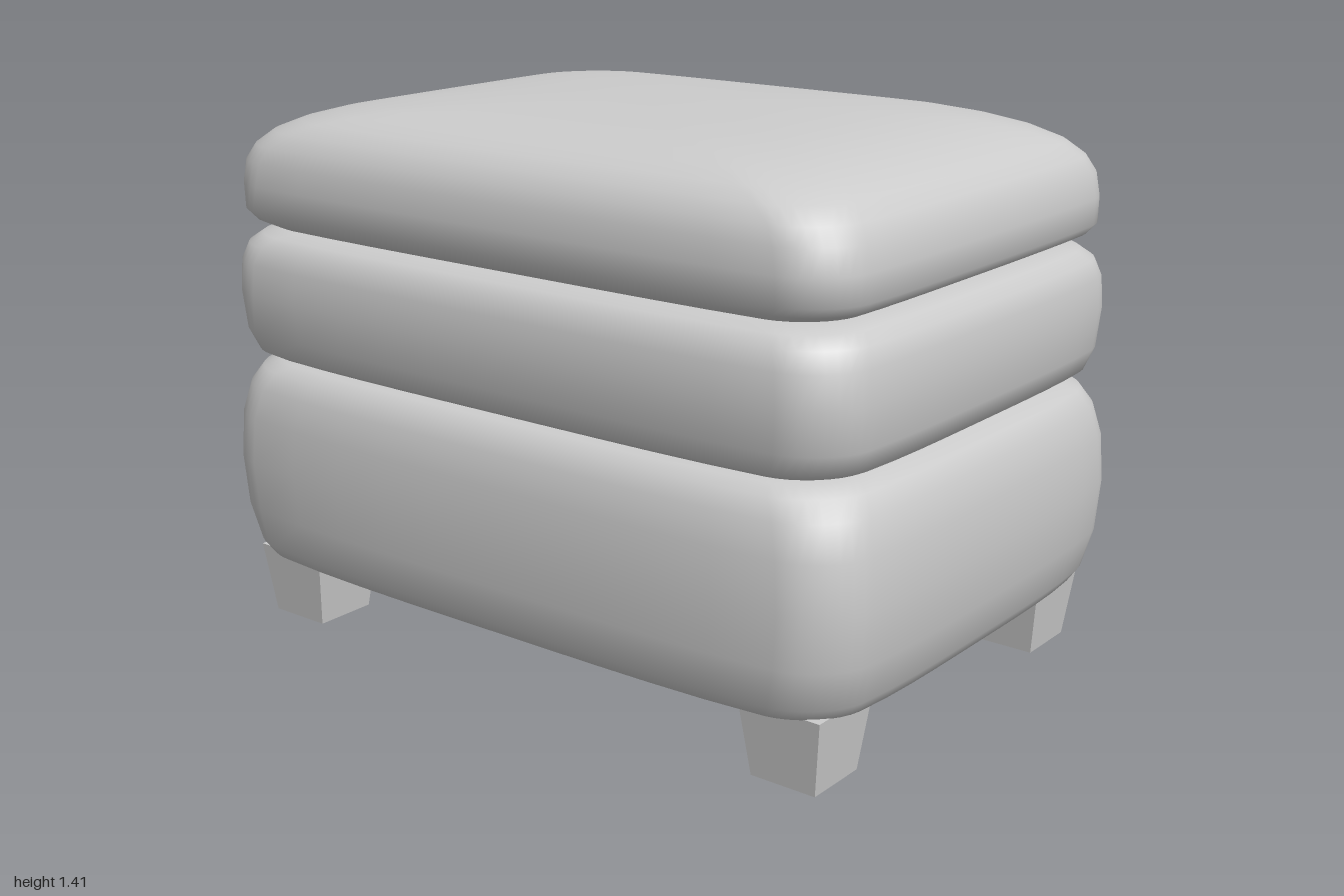
import * as THREE from 'three';
import { toCreasedNormals } from 'three/addons/utils/BufferGeometryUtils.js';

const material = new THREE.MeshStandardMaterial({ color: 0xcccccc });

// Rounded rectangle in plan whose sides bow gently outward.
function ring(hx, hz, radius, bulge) {
  const corner = 8, side = 10, pts = [];
  const r = Math.min(radius, hx * 0.9, hz * 0.9);
  const b = Math.min(bulge, hx * 0.1, hz * 0.1);
  const ix = hx - b, iz = hz - b;
  const signs = [[1, 1], [-1, 1], [-1, -1], [1, -1]];
  const arc = (k, a) => [
    signs[k][0] * (ix - r) + r * Math.cos(a),
    signs[k][1] * (iz - r) + r * Math.sin(a)
  ];
  for (let k = 0; k < 4; k++) {
    for (let i = 0; i <= corner; i++) pts.push(arc(k, (k + i / corner) * Math.PI / 2));
    const p = arc(k, (k + 1) * Math.PI / 2);
    const q = arc((k + 1) % 4, (k + 1) * Math.PI / 2);
    for (let i = 1; i < side; i++) {
      const t = i / side;
      pts.push([p[0] + (q[0] - p[0]) * t, p[1] + (q[1] - p[1]) * t]);
    }
  }
  return pts.map(([x, z]) => {
    const u = x / ix, v = z / iz;
    return [x + b * u * (1 - v ** 4), z + b * v * (1 - u ** 4)];
  });
}

// Loft a cushion through rows of [y, half width, half depth, corner radius].
function cushion(name, rows, bulge) {
  const pos = [], idx = [];
  let n = 0;
  for (const [y, hx, hz, r = 0.13] of rows) {
    const pts = ring(hx, hz, r, bulge);
    n = pts.length;
    for (const [x, z] of pts) pos.push(x, y, z);
  }
  for (let i = 0; i < rows.length - 1; i++) {
    for (let j = 0; j < n; j++) {
      const a = i * n + j, b = i * n + (j + 1) % n;
      idx.push(a, a + n, b, b, a + n, b + n);
    }
  }
  // Close both ends with a fan
  const last = (rows.length - 1) * n, c = pos.length / 3;
  pos.push(0, rows[0][0], 0, 0, rows[rows.length - 1][0], 0);
  for (let j = 0; j < n; j++) {
    const k = (j + 1) % n;
    idx.push(c, j, k, c + 1, last + k, last + j);
  }
  const geo = new THREE.BufferGeometry();
  geo.setAttribute('position', new THREE.Float32BufferAttribute(pos, 3));
  geo.setIndex(idx);
  const mesh = new THREE.Mesh(toCreasedNormals(geo, 0.9), material);
  mesh.name = name;
  return mesh;
}

// Square foot narrowing towards the floor
function foot(x, z) {
  const geo = new THREE.BoxGeometry(0.22, 0.19, 0.215);
  const p = geo.attributes.position;
  for (let i = 0; i < p.count; i++) {
    if (p.getY(i) < 0) p.setXYZ(i, p.getX(i) * 0.79, p.getY(i), p.getZ(i) * 0.79);
  }
  geo.computeVertexNormals();
  const mesh = new THREE.Mesh(geo, material);
  mesh.position.set(x, 0.095, z);
  return mesh;
}

export function createModel() {
  const model = new THREE.Group();
  model.name = 'footstool';

  model.add(cushion('base', [
    [0.178, 0.91, 0.635], [0.188, 0.945, 0.66], [0.22, 0.965, 0.678], [0.32, 0.99, 0.694],
    [0.45, 1, 0.7], [0.57, 0.992, 0.695], [0.65, 0.972, 0.68],
    [0.695, 0.945, 0.658], [0.714, 0.905, 0.63], [0.722, 0.85, 0.58]
  ], 0.04));

  model.add(cushion('middleCushion', [
    [0.718, 0.86, 0.58], [0.727, 0.91, 0.625], [0.745, 0.943, 0.654], [0.8, 0.962, 0.674],
    [0.9, 0.97, 0.682], [0.98, 0.965, 0.679], [1.025, 0.95, 0.665],
    [1.05, 0.92, 0.642], [1.061, 0.88, 0.61], [1.066, 0.82, 0.56]
  ], 0.03));

  // Crowned seat: steep sides rolling into a shallow dome
  model.add(cushion('seatCushion', [
    [1.06, 0.82, 0.56], [1.068, 0.88, 0.605], [1.09, 0.925, 0.642], [1.115, 0.945, 0.658],
    [1.18, 0.945, 0.661], [1.24, 0.935, 0.657], [1.28, 0.912, 0.643], [1.315, 0.872, 0.62, 0.14],
    [1.343, 0.81, 0.585, 0.15], [1.365, 0.735, 0.535, 0.16], [1.382, 0.65, 0.475, 0.17],
    [1.394, 0.54, 0.395, 0.17], [1.402, 0.4, 0.28, 0.15], [1.407, 0.2, 0.14, 0.1]
  ], 0.02));

  const feet = new THREE.Group();
  feet.name = 'feet';
  for (const sx of [1, -1]) {
    for (const sz of [1, -1]) {
      const f = foot(sx * 0.79, sz * 0.497);
      f.name = (sz > 0 ? 'front' : 'back') + (sx > 0 ? 'Left' : 'Right') + 'Foot';
      feet.add(f);
    }
  }
  model.add(feet);
  return model;
}
